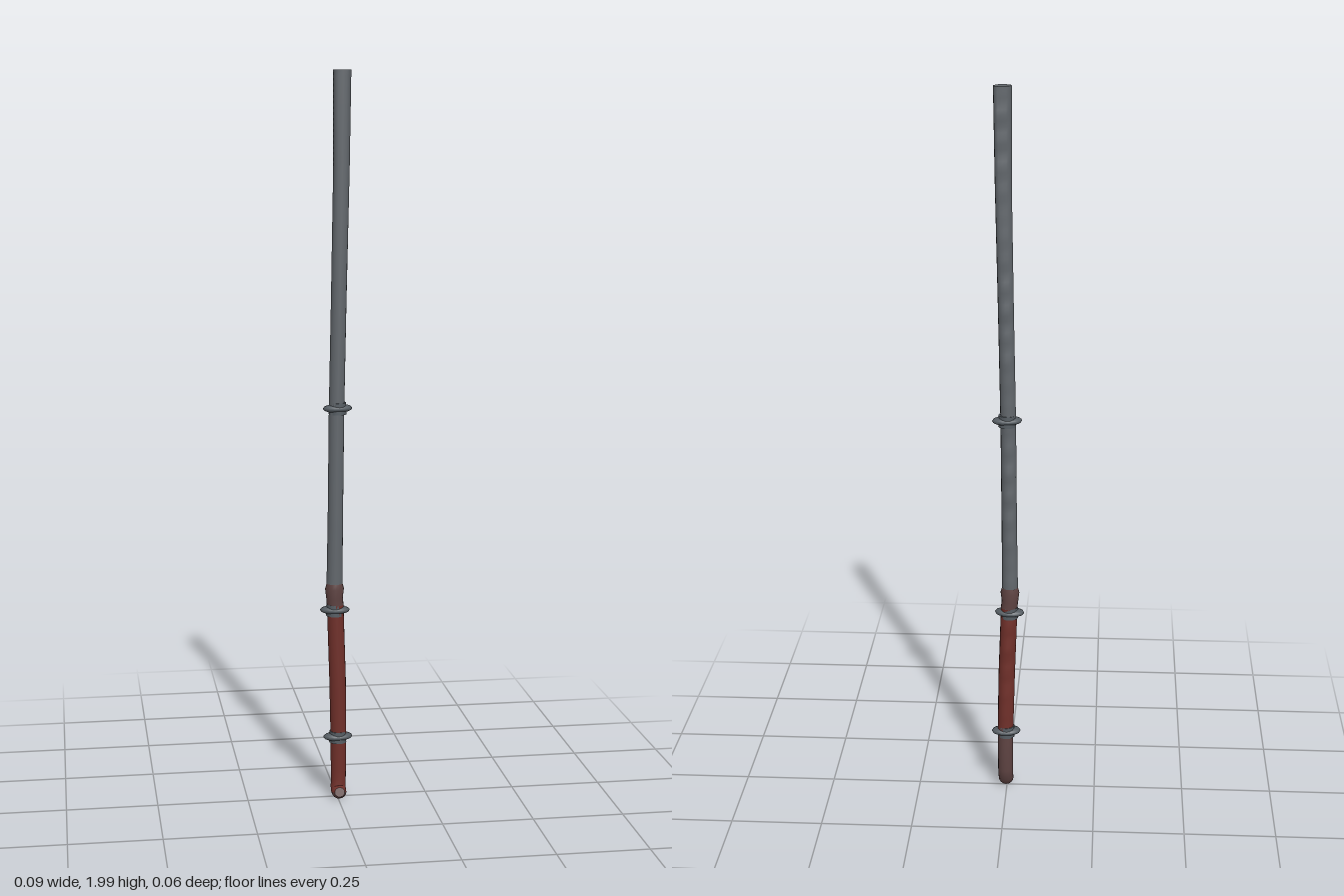
import * as THREE from 'three';

const mat = (name, color) => Object.assign(new THREE.MeshStandardMaterial({ color }), { name });

// Staff stations from the foot up: x, y, z, half width, half depth
const foot = [
  [0.003, 0.027, 0.029, 0.014, 0.013],
  [0.003, 0.024, 0.02, 0.02, 0.018],
  [0.003, 0.024, 0.008, 0.021, 0.02],
  [0.003, 0.034, -0.002, 0.021, 0.02],
  [0.004, 0.06, -0.005, 0.021, 0.02],
  [0.004, 0.18, -0.004, 0.022, 0.022],
];
const grip = [foot[5], [0.001, 0.35, 0, 0.023, 0.023], [-0.006, 0.56, 0.003, 0.023, 0.023]];
const socket = [
  grip[2], [-0.008, 0.58, 0.004, 0.023, 0.023],
  [-0.008, 0.605, 0.004, 0.026, 0.025], [-0.008, 0.62, 0.004, 0.022, 0.022],
];
const shaft = [
  socket[3], [-0.006, 0.8, 0.006, 0.021, 0.022], [-0.003, 1.1, 0.008, 0.021, 0.021],
  [0.003, 1.4, 0.008, 0.021, 0.02], [0.01, 1.75, 0.009, 0.022, 0.019], [0.012, 2, 0.009, 0.024, 0.02],
];

// Small uneven dents along the rear of the staff
const dent = (y) => 0.0016 * Math.sin(y * 61) * Math.sin(y * 23 + 1) + 0.0012 * Math.sin(y * 97);

// Skin a run of stations; the frame follows the bend in the yz plane
function loft(stations, step, front, back = front) {
  const N = 16, rows = [], pos = [], faces = [[], []];
  stations.forEach((s, i) => {
    const next = stations[i + 1];
    if (!next) { rows.push(s); return; }
    const count = Math.max(1, Math.round((next[1] - s[1]) / step));
    for (let k = 0; k < count; k++) rows.push(s.map((v, c) => v + (next[c] - v) * k / count));
  });
  rows.forEach(([x, y, z, rx, rz], i) => {
    const a = rows[Math.max(0, i - 1)], b = rows[Math.min(rows.length - 1, i + 1)];
    let ty = b[1] - a[1], tz = b[2] - a[2];
    const len = Math.hypot(ty, tz);
    ty /= len; tz /= len;
    const square = THREE.MathUtils.smoothstep(y, 1.2, 2);
    for (let j = 0; j < N; j++) {
      const t = j / N * Math.PI * 2, c = Math.cos(t), s = Math.sin(t);
      const p = 1 - 0.3 * square;
      let u = Math.sign(c) * Math.abs(c) ** p * rx;
      let v = Math.sign(s) * Math.abs(s) ** p * rz;
      if (s < -0.1 && y > 0.1 && y < 1.97) v += dent(y) * -s;
      // the upper end narrows towards the front right and rear left
      if (c * s > 0) u *= 1 - 0.2 * square;
      if (c < 0 && s < 0) v *= 1 - 0.25 * square;
      pos.push(x + u, y - tz * v, z + ty * v);
    }
  });
  for (let i = 0; i < rows.length - 1; i++) {
    for (let j = 0; j < N; j++) {
      const a = i * N + j, b = i * N + (j + 1) % N;
      faces[j >= N / 2 ? 1 : 0].push(a, a + N, b, b, a + N, b + N);
    }
  }
  const g = new THREE.BufferGeometry();
  g.setAttribute('position', new THREE.Float32BufferAttribute(pos, 3));
  g.setIndex([...faces[0], ...faces[1]]);
  g.addGroup(0, faces[0].length, 0);
  g.addGroup(faces[0].length, faces[1].length, 1);
  g.computeVertexNormals();
  const mesh = new THREE.Mesh(g, [front, back]);
  mesh.userData = { first: pos.slice(0, N * 3), last: pos.slice(-N * 3) };
  return mesh;
}

// Flat end face over a closed rim
function endCap(rim, material, flip) {
  const n = rim.length / 3, idx = [];
  for (let j = 1; j < n - 1; j++) idx.push(0, ...(flip ? [j, j + 1] : [j + 1, j]));
  const g = new THREE.BufferGeometry();
  g.setAttribute('position', new THREE.Float32BufferAttribute(rim, 3));
  g.setIndex(idx);
  g.computeVertexNormals();
  return new THREE.Mesh(g, material);
}

export function createModel() {
  const group = new THREE.Group();
  const steel = mat('steel grey', 0x62676c);
  const red = mat('oxide red', 0x70302a);
  const brown = mat('dull brown', 0x5e4342);
  const dark = mat('dark steel', 0x555c62);
  const add = (name, mesh) => { mesh.name = name; group.add(mesh); return mesh; };

  // Staff body
  const footMesh = add('hookedFoot', loft(foot, 0.03, red, brown));
  add('grip', loft(grip, 0.02, red));
  add('socket', loft(socket, 0.02, brown));
  const shaftMesh = add('shaft', loft(shaft, 0.015, steel));
  add('toeCap', endCap(footMesh.userData.first, brown, true));
  add('shaftTop', endCap(shaftMesh.userData.last, steel, false));
  footMesh.userData = {};
  shaftMesh.userData = {};

  // Bands with a pointed lug on each side
  const bands = [[0.002, 0.18, -0.003, 0.1], [-0.007, 0.545, 0.003, -0.1], [0, 1.105, 0.007, 0.15]];
  for (const [x, y, z, turn] of bands) {
    const band = new THREE.Group();
    band.name = 'band';
    band.position.set(x, y, z);
    band.rotation.y = turn;
    const collar = new THREE.Mesh(new THREE.CylinderGeometry(0.023, 0.024, 0.032, 16), dark);
    collar.name = 'collar';
    const lugs = new THREE.Mesh(new THREE.SphereGeometry(1, 16, 8), dark);
    lugs.name = 'sideLugs';
    lugs.scale.set(0.041, 0.012, 0.026);
    band.add(collar, lugs);
    group.add(band);
  }
  return group;
}
